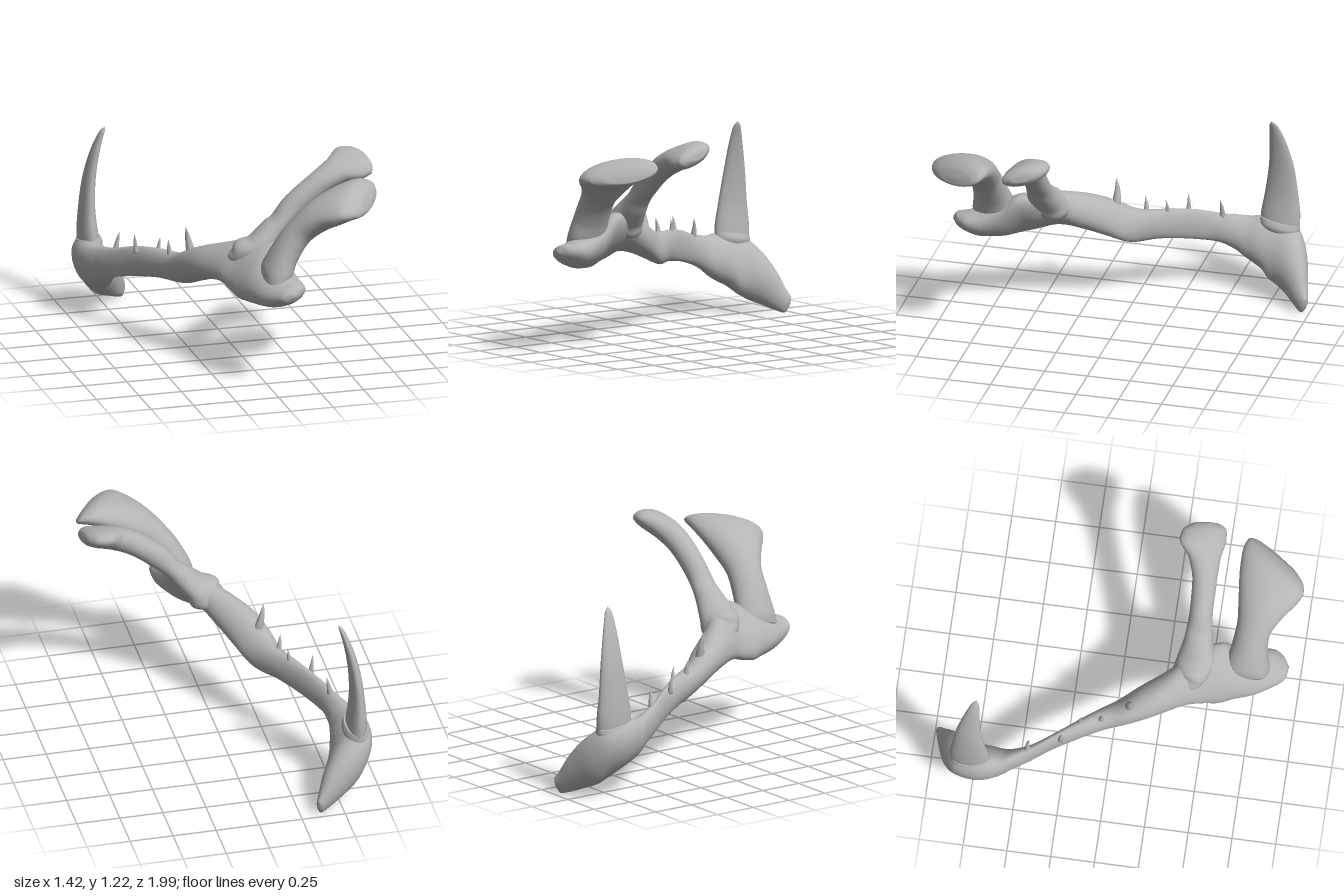
import * as THREE from 'three';

const V = (a) => new THREE.Vector3(...a);

// Smooth closed loft through elliptical sections: [centre, half axis u, half axis v]
function loft(sections, steps = 48, sides = 28) {
  const curves = [0, 1, 2].map((k) =>
    new THREE.CatmullRomCurve3(sections.map((s) => V(s[k])), false, 'centripetal'));
  const pos = [], index = [];
  const mid = sections.length >> 1;
  const dir = V(sections[mid][0]).sub(V(sections[mid - 1][0]));
  const turn = V(sections[mid][1]).cross(V(sections[mid][2])).dot(dir) < 0 ? -1 : 1;
  for (let i = 0; i <= steps; i++) {
    const [c, u, v] = curves.map((q) => q.getPoint(i / steps));
    for (let j = 0; j < sides; j++) {
      const a = (j / sides) * Math.PI * 2 * turn;
      const p = c.clone().addScaledVector(u, Math.cos(a)).addScaledVector(v, Math.sin(a));
      pos.push(p.x, p.y, p.z);
    }
  }
  for (let i = 0; i < steps; i++) {
    for (let j = 0; j < sides; j++) {
      const a = i * sides + j, b = i * sides + ((j + 1) % sides);
      index.push(a, b, a + sides, b, b + sides, a + sides);
    }
  }
  // end caps
  for (const [row, end] of [[0, 0], [steps, 1]]) {
    const c = curves[0].getPoint(end), n = pos.length / 3;
    pos.push(c.x, c.y, c.z);
    for (let j = 0; j < sides; j++) {
      const a = row * sides + j, b = row * sides + ((j + 1) % sides);
      if (end) index.push(a, b, n); else index.push(b, a, n);
    }
  }
  const g = new THREE.BufferGeometry();
  g.setAttribute('position', new THREE.Float32BufferAttribute(pos, 3));
  g.setIndex(index);
  g.computeVertexNormals();
  return g;
}

export function createModel() {
  const model = new THREE.Group();
  model.name = 'jawBone';
  const bone = new THREE.MeshStandardMaterial({ color: 0xb4b4b4 });
  bone.name = 'bone grey';
  const add = (name, geometry) => {
    const mesh = new THREE.Mesh(geometry, bone);
    mesh.name = name;
    model.add(mesh);
  };

  // Chin: flattened, hooking inwards to a blunt tip
  const chin = [
    [[-0.354, 0.045, -0.978], [0.003, 0, 0.003], [0.002, 0.012, -0.005]],
    [[-0.36, 0.05, -0.97], [0.015, 0.005, 0.014], [0.008, 0.045, -0.018]],
    [[-0.392, 0.077, -0.945], [0.03, 0.015, 0.024], [0.012, 0.058, -0.03]],
    [[-0.455, 0.145, -0.90], [0.055, 0.035, 0.038], [0.01, 0.09, -0.05]],
    [[-0.528, 0.215, -0.85], [0.085, 0.035, 0.045], [-0.02, 0.135, -0.055]],
    [[-0.578, 0.27, -0.785], [0.098, 0.02, 0.045], [-0.05, 0.158, -0.045]],
    [[-0.602, 0.305, -0.69], [0.105, 0.01, 0.03], [-0.04, 0.148, 0]],
    [[-0.598, 0.33, -0.59], [0.085, 0, 0.02], [-0.02, 0.118, 0]],
  ];
  // Long shaft swelling into the rounded heel
  const shaft = [
    [[-0.577, 0.362, -0.52], [0.062, 0, 0.012], [-0.01, 0.1, 0]],
    [[-0.54, 0.395, -0.43], [0.052, 0, 0.02], [0, 0.087, 0]],
    [[-0.46, 0.437, -0.30], [0.057, 0, 0.028], [0, 0.09, 0]],
    [[-0.365, 0.465, -0.15], [0.075, 0, 0.03], [0, 0.088, 0]],
    [[-0.275, 0.478, 0.0], [0.092, 0.01, 0.03], [-0.02, 0.093, 0]],
    [[-0.222, 0.535, 0.12], [0.108, 0.03, 0.02], [-0.03, 0.1, 0]],
    [[-0.16, 0.59, 0.25], [0.12, 0.05, 0.02], [-0.035, 0.097, 0]],
    [[-0.07, 0.635, 0.40], [0.115, 0.1, 0], [-0.045, 0.075, 0]],
    [[-0.02, 0.63, 0.49], [0.125, 0.13, 0], [-0.055, 0.06, 0]],
    [[0.005, 0.62, 0.57], [0.13, 0.14, 0], [-0.06, 0.06, 0]],
    [[0.03, 0.588, 0.67], [0.125, 0.09, 0], [-0.05, 0.09, 0]],
    [[0.065, 0.567, 0.79], [0.125, 0.04, 0], [-0.025, 0.085, 0]],
    [[0.095, 0.572, 0.88], [0.1, 0.02, -0.01], [0, 0.062, 0]],
    [[0.098, 0.582, 0.935], [0.06, 0.01, -0.01], [0, 0.04, 0]],
    [[0.098, 0.584, 0.955], [0.012, 0, 0], [0, 0.01, 0]],
  ];
  add('jaw', loft([...chin, ...shaft], 138, 32));

  // Raised rim of the fang socket
  add('fangSocketRim', loft([
    [[-0.61, 0.36, -0.755], [0.05, 0, 0], [0, 0, 0.07]],
    [[-0.615, 0.41, -0.762], [0.076, 0.01, 0], [0, 0.02, 0.116]],
    [[-0.617, 0.445, -0.765], [0.064, 0.01, 0], [0, 0.02, 0.112]],
  ], 12));

  // Tall curved fang
  add('fang', loft([
    [[-0.615, 0.40, -0.765], [0.06, 0, 0], [0, 0, 0.112]],
    [[-0.62, 0.47, -0.766], [0.056, 0, 0], [0, 0, 0.115]],
    [[-0.622, 0.62, -0.772], [0.042, 0, 0], [0, 0, 0.096]],
    [[-0.607, 0.80, -0.774], [0.033, 0, 0], [0, 0, 0.072]],
    [[-0.573, 0.97, -0.76], [0.023, 0, 0], [0, 0, 0.045]],
    [[-0.538, 1.075, -0.745], [0.013, 0, 0], [0, 0, 0.022]],
    [[-0.525, 1.10, -0.74], [0.002, 0, 0], [0, 0, 0.003]],
  ], 40));

  // Broad front arm, rooted in the heel and flaring into a slanted paddle
  add('frontArm', loft([
    [[0.04, 0.62, 0.72], [0, -0.02, 0.13], [-0.06, 0.02, 0]],
    [[0.07, 0.675, 0.725], [0, -0.015, 0.125], [-0.08, 0.03, 0]],
    [[0.115, 0.77, 0.73], [-0.01, -0.01, 0.105], [-0.07, 0.045, 0]],
    [[0.19, 0.885, 0.74], [-0.02, -0.01, 0.096], [-0.065, 0.05, 0]],
    [[0.30, 0.985, 0.765], [-0.05, -0.02, 0.13], [-0.055, 0.07, 0]],
    [[0.41, 1.05, 0.80], [-0.07, -0.035, 0.175], [-0.04, 0.075, 0.01]],
    [[0.495, 1.08, 0.815], [-0.10, -0.04, 0.185], [-0.03, 0.07, 0.005]],
    [[0.552, 1.08, 0.82], [-0.10, -0.033, 0.168], [-0.03, 0.06, 0]],
    [[0.585, 1.075, 0.82], [-0.07, -0.02, 0.115], [-0.02, 0.04, 0]],
    [[0.595, 1.073, 0.82], [-0.012, -0.005, 0.02], [-0.003, 0.006, 0]],
  ], 60));

  // Slender rear arm with a knobbed end
  add('rearArm', loft([
    [[-0.10, 0.62, 0.36], [-0.03, 0, 0.06], [-0.035, 0.04, 0]],
    [[-0.05, 0.66, 0.40], [-0.04, 0, 0.09], [-0.05, 0.055, 0]],
    [[0.03, 0.72, 0.435], [-0.02, 0, 0.105], [-0.05, 0.055, 0]],
    [[0.13, 0.82, 0.438], [0, 0, 0.08], [-0.045, 0.05, 0]],
    [[0.25, 0.95, 0.437], [0, 0, 0.066], [-0.045, 0.05, 0]],
    [[0.39, 1.06, 0.435], [0, 0, 0.07], [-0.04, 0.055, 0]],
    [[0.50, 1.12, 0.42], [0.01, -0.01, 0.09], [-0.04, 0.06, 0]],
    [[0.595, 1.155, 0.398], [0.03, -0.035, 0.13], [-0.035, 0.06, 0]],
    [[0.655, 1.165, 0.40], [0.025, -0.03, 0.12], [-0.02, 0.052, 0]],
    [[0.69, 1.17, 0.402], [0.012, -0.015, 0.065], [-0.008, 0.028, 0]],
    [[0.695, 1.17, 0.402], [0.002, -0.002, 0.01], [0, 0.004, 0]],
  ], 60));

  // Row of small curved teeth: base, tip, half width
  const teeth = [
    [[-0.255, 0.59, 0.10], [-0.29, 0.755, 0.108], 0.026],
    [[-0.335, 0.53, -0.055], [-0.35, 0.635, -0.045], 0.016],
    [[-0.375, 0.52, -0.17], [-0.365, 0.612, -0.162], 0.014],
    [[-0.475, 0.50, -0.265], [-0.487, 0.612, -0.26], 0.014],
    [[-0.548, 0.45, -0.445], [-0.525, 0.572, -0.437], 0.017],
  ];
  teeth.forEach(([base, tip, r], i) => {
    const at = (t, bow, s) => {
      const c = V(base).lerp(V(tip), t);
      c.z -= bow * r;
      return [c.toArray(), [r * s, 0, 0], [0, 0, r * s]];
    };
    add('smallTooth' + (i + 1),
      loft([at(0, 0, 1.15), at(0.35, 0.25, 0.85), at(0.7, 0.3, 0.5), at(1, 0, 0.05)], 12, 12));
  });

  return model;
}
